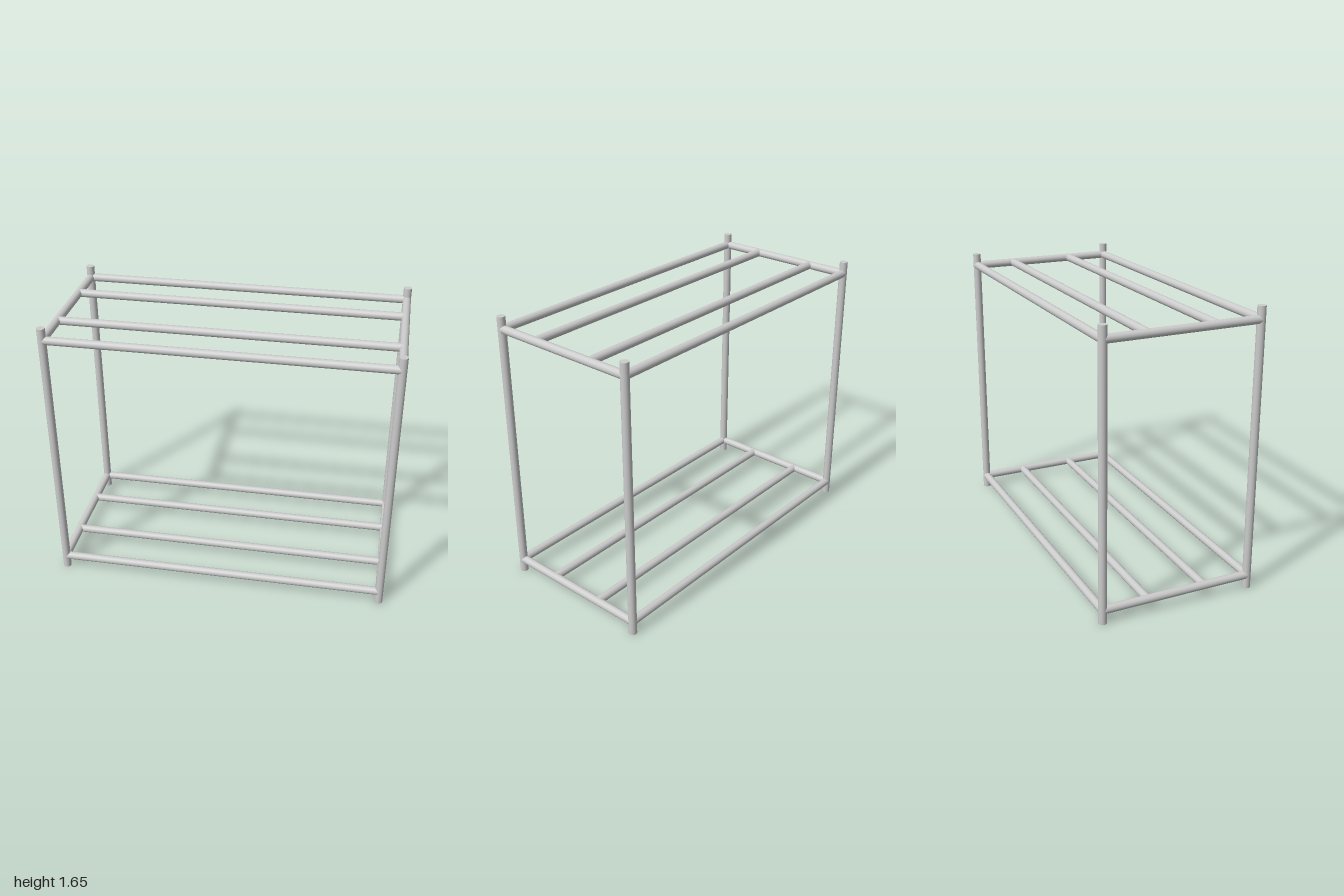
import * as THREE from 'three';

const R = 0.024;            // tube radius
const X = 0.976, Z = 0.452; // post axes
const HEIGHT = 1.65;

export function createModel() {
  const group = new THREE.Group();
  const material = new THREE.MeshStandardMaterial({ color: 0xcccccc });

  // Straight tube of given length along the chosen axis, centred on (x, y, z)
  function tube(name, axis, length, x, y, z, parent) {
    const geometry = new THREE.CylinderGeometry(R, R, length, 32);
    if (axis === 'x') geometry.rotateZ(Math.PI / 2);
    if (axis === 'z') geometry.rotateX(Math.PI / 2);
    const mesh = new THREE.Mesh(geometry, material);
    mesh.name = name;
    mesh.position.set(x, y, z);
    parent.add(mesh);
  }

  // Four corner posts
  for (const [side, sx] of [['Left', 1], ['Right', -1]]) {
    for (const [end, sz] of [['front', 1], ['back', -1]]) {
      tube(`${end}${side}Post`, 'y', HEIGHT, sx * X, HEIGHT / 2, sz * Z, group);
    }
  }

  // Two shelves: a rail frame with two inner bars each
  const shelves = [
    { name: 'lowerShelf', y: 0.078, bars: [0.171, -0.181] },
    { name: 'upperShelf', y: 1.576, bars: [0.192, -0.204] },
  ];
  for (const { name, y, bars } of shelves) {
    const shelf = new THREE.Group();
    shelf.name = name;
    shelf.position.y = y;
    group.add(shelf);
    tube('frontRail', 'x', 2 * X, 0, 0, Z, shelf);
    tube('backRail', 'x', 2 * X, 0, 0, -Z, shelf);
    tube('leftRail', 'z', 2 * Z, X, 0, 0, shelf);
    tube('rightRail', 'z', 2 * Z, -X, 0, 0, shelf);
    tube('frontShelfBar', 'x', 2 * X, 0, 0, bars[0], shelf);
    tube('backShelfBar', 'x', 2 * X, 0, 0, bars[1], shelf);
  }
  return group;
}
